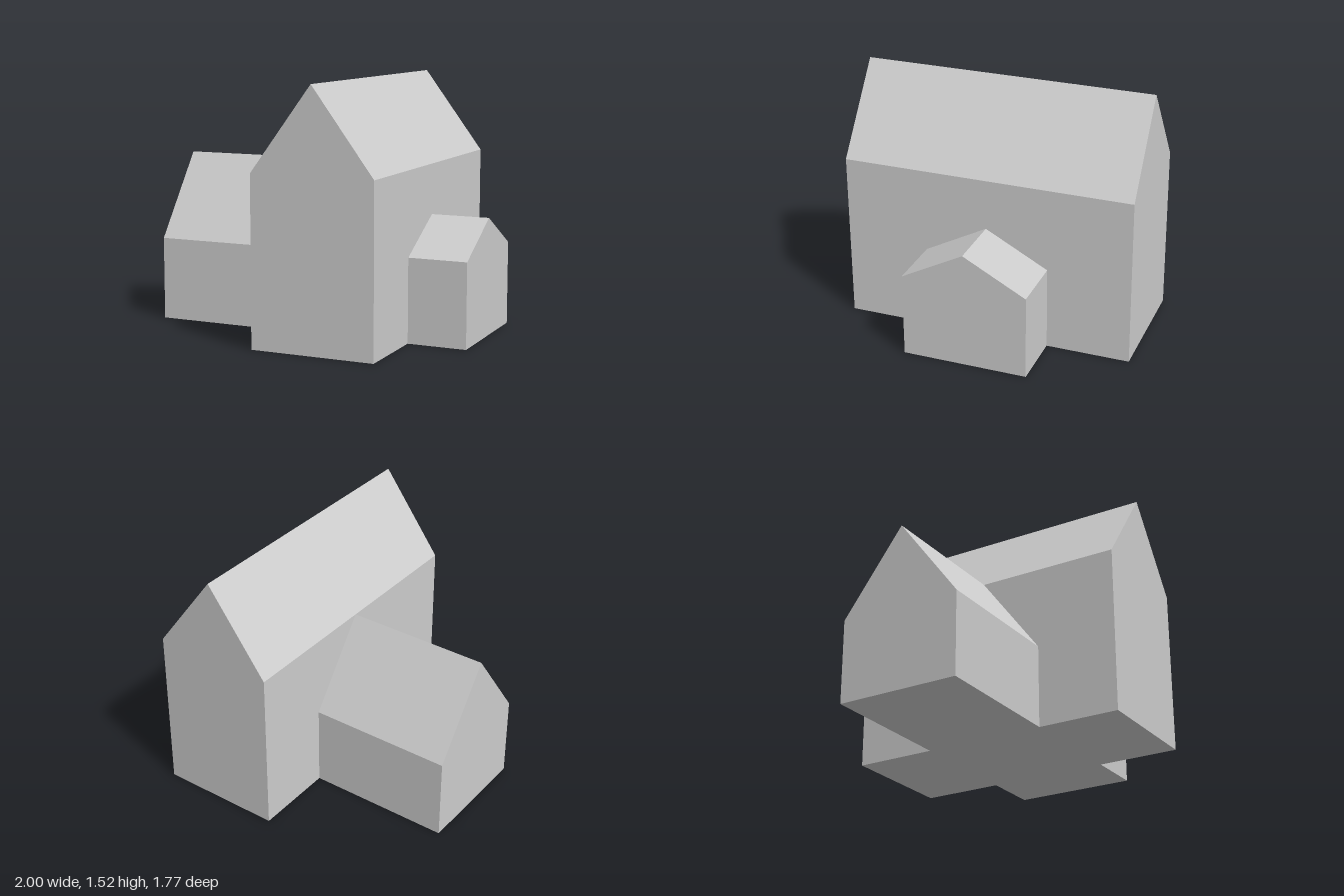
import * as THREE from 'three';

const material = new THREE.MeshStandardMaterial({ color: 0xcccccc, flatShading: true });

// House-shaped prism: gable profile centred on its ridge, extruded along z and centred
function gabledBlock(name, width, eave, ridge, length) {
  const w = width / 2;
  const profile = new THREE.Shape([
    new THREE.Vector2(-w, 0),
    new THREE.Vector2(w, 0),
    new THREE.Vector2(w, eave),
    new THREE.Vector2(0, ridge),
    new THREE.Vector2(-w, eave),
  ]);
  const geometry = new THREE.ExtrudeGeometry(profile, { depth: length, bevelEnabled: false });
  geometry.translate(0, 0, -length / 2);
  const mesh = new THREE.Mesh(geometry, material);
  mesh.name = name;
  return mesh;
}

export function createModel() {
  const group = new THREE.Group();
  group.name = 'gabledHouse';

  const span = 0.758; // shared width of all three blocks
  const hallLeft = 0.642, hallRight = hallLeft - span;

  // Tall central hall, ridge running front to back
  const hall = gabledBlock('mainHall', span, 1.015, 1.524, 1.77);
  hall.position.x = (hallLeft + hallRight) / 2;
  group.add(hall);

  // Side wings, ridges running left to right
  const wings = [
    ['longWing', -1, hallRight, 1.015],
    ['shortWing', hallLeft, 1, 0.71],
  ];
  for (const [name, x0, x1, ridge] of wings) {
    const wing = gabledBlock(name, span, 0.508, ridge, x1 - x0);
    wing.rotation.y = Math.PI / 2;
    wing.position.x = (x0 + x1) / 2;
    group.add(wing);
  }
  return group;
}
